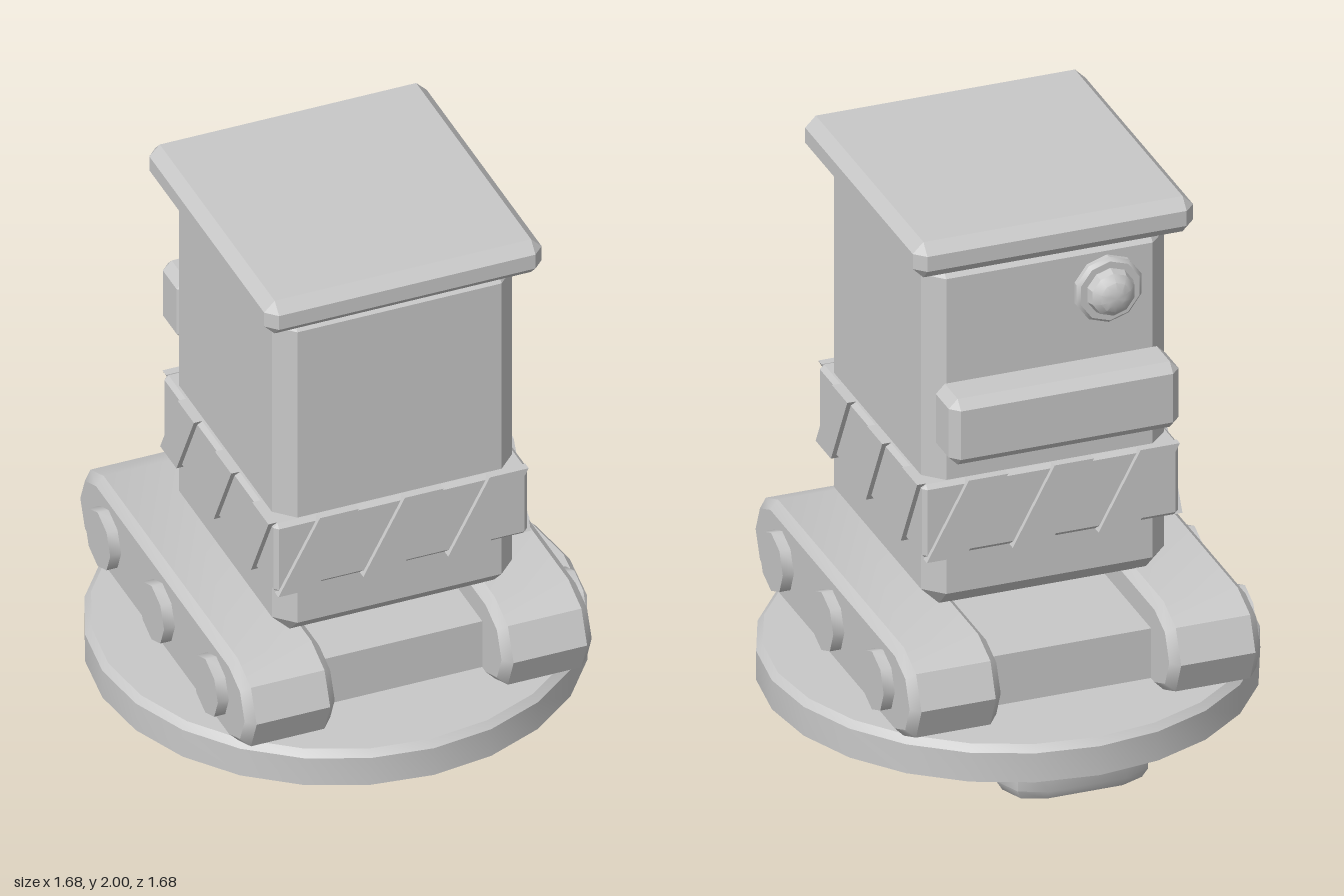
import * as THREE from 'three';
import { ConvexGeometry } from 'three/addons/geometries/ConvexGeometry.js';
import { toCreasedNormals } from 'three/addons/utils/BufferGeometryUtils.js';

const BODY_Z = 0.082; // the tower sits slightly forward of the base

// Box with chamfered edges, given by its limits on each axis
function chamferBox([x0, x1], [y0, y1], [z0, z1], b) {
  const c = [(x0 + x1) / 2, (y0 + y1) / 2, (z0 + z1) / 2];
  const h = [(x1 - x0) / 2, (y1 - y0) / 2, (z1 - z0) / 2];
  const points = [];
  for (const sx of [-1, 1]) for (const sy of [-1, 1]) for (const sz of [-1, 1]) {
    for (let full = 0; full < 3; full++) {
      const p = [sx, sy, sz].map((s, i) => c[i] + s * (i === full ? h[i] : h[i] - b));
      points.push(new THREE.Vector3(...p));
    }
  }
  return new ConvexGeometry(points);
}

// Shape or profile points from coordinate pairs
const toVectors = (points) => points.map(([x, y]) => new THREE.Vector2(x, y));

// Bevelled pill centred on the origin: half-octagon ends at x = +-end, depth along z
function pill(end, radius, depth, bevel, bevelDepth) {
  const r = radius - bevel;
  const outline = [];
  for (const side of [1, -1]) {
    for (let i = 0; i <= 4; i++) {
      const a = -side * Math.PI / 2 + i * Math.PI / 4;
      outline.push([side * end + r * Math.cos(a), r * Math.sin(a)]);
    }
  }
  const inner = depth - 2 * bevelDepth;
  return new THREE.ExtrudeGeometry(new THREE.Shape(toVectors(outline)), {
    depth: inner, bevelSize: bevel, bevelThickness: bevelDepth, bevelSegments: 1,
  }).translate(0, 0, -inner / 2);
}

export function createModel() {
  const model = new THREE.Group();
  model.name = 'trackedToy';
  const grey = new THREE.MeshStandardMaterial({ color: 0xc8c8c8 });
  grey.name = 'plainGrey';

  function add(name, geometry, parent = model) {
    const mesh = new THREE.Mesh(geometry, grey);
    mesh.name = name;
    parent.add(mesh);
    return mesh;
  }

  // Tower and lid
  add('body', chamferBox([-0.433, 0.433], [0.587, 1.893], [-0.38, 0.545], 0.065));
  add('lid', chamferBox([-0.5, 0.5], [1.868, 2], [-0.45, 0.612], 0.038));

  // Belt with raised slanted plates on all four sides
  const belt = new THREE.Group();
  belt.name = 'belt';
  model.add(belt);
  add('beltBase', chamferBox([-0.457, 0.457], [0.802, 1.078], [-0.4, 0.565], 0.015), belt);
  for (let side = 0; side < 4; side++) {
    const alongX = side % 2 === 0;
    const reach = alongX ? 0.498 : 0.473;
    const period = alongX ? 0.306 : 0.32;
    const face = new THREE.Group();
    face.name = 'beltSide';
    face.position.set(0, 0.94, BODY_Z);
    face.rotation.y = side * Math.PI / 2;
    belt.add(face);
    for (let i = -1; i <= 1; i++) {
      const w = 0.07, s = 0.075, h = 0.14;
      const shape = new THREE.Shape(toVectors([[-s - w, -h], [-s + w, -h], [s + w, h], [s - w, h]]));
      const plate = new THREE.ExtrudeGeometry(shape, { depth: 0.03, bevelEnabled: false });
      add('beltPlate', plate, face).position.set(i * period, 0, reach - 0.03);
    }
  }

  // Bar and round button on the back
  add('backBar', chamferBox([-0.41, 0.41], [1.2, 1.445], [-0.542, -0.36], 0.032));
  const button = new THREE.Group();
  button.name = 'backButton';
  button.position.set(-0.205, 1.692, -0.36);
  button.rotation.x = -Math.PI / 2;
  model.add(button);
  const profile = [[0, 0], [0.122, 0], [0.122, 0.037], [0.11, 0.05], [0.086, 0.05],
    [0.078, 0.08], [0.055, 0.103], [0.028, 0.114], [0, 0.115]];
  const knob = new THREE.LatheGeometry(toVectors(profile), 10);
  add('buttonDome', toCreasedNormals(knob, 0.5), button);

  // Track units, mirrored left and right, each with three hubs
  const trackGeometry = toCreasedNormals(
    pill(0.57, 0.165, 0.325, 0.03, 0.03).rotateY(Math.PI / 2), 0.7);
  const hubGeometry = toCreasedNormals(new THREE.CylinderGeometry(0.108, 0.108, 0.08, 8), 0.8);
  for (const side of [-1, 1]) {
    const track = new THREE.Group();
    track.name = side > 0 ? 'leftTrack' : 'rightTrack';
    track.position.set(side * 0.463, 0.424, 0);
    model.add(track);
    add('trackBody', trackGeometry, track);
    for (const z of [-0.462, 0, 0.462]) {
      const hub = add('hub', hubGeometry, track);
      hub.rotation.z = -side * Math.PI / 2;
      hub.position.set(side * 0.162, 0, z);
    }
  }
  const chassis = new THREE.BoxGeometry(0.66, 0.185, 1.08);
  add('chassis', chassis).position.y = 0.383;

  // Round base: a thin-walled dish, open below, with a chamfered rim
  const rim = [[0, 0.255], [0.816, 0.255], [0.836, 0.234], [0.836, 0.128],
    [0.842, 0.128], [0.842, 0.236], [0.82, 0.26], [0, 0.26]];
  const dish = new THREE.LatheGeometry(toVectors(rim), 24);
  add('baseDish', toCreasedNormals(dish, 0.5));

  // Small pivot cap in the middle of the dish
  add('pivotCap', new THREE.CylinderGeometry(0.055, 0.08, 0.034, 12)).position.y = 0.269;

  // T-shaped foot under the base
  add('footBar', chamferBox([-0.115, 0.115], [0, 0.255], [-0.5, 0.083], 0.04));
  const headGeometry = pill(0.135, 0.135, 0.25, 0.02, 0.035).rotateX(-Math.PI / 2);
  add('footHead', toCreasedNormals(headGeometry, 0.8)).position.set(0, 0.125, -0.59);

  return model;
}
